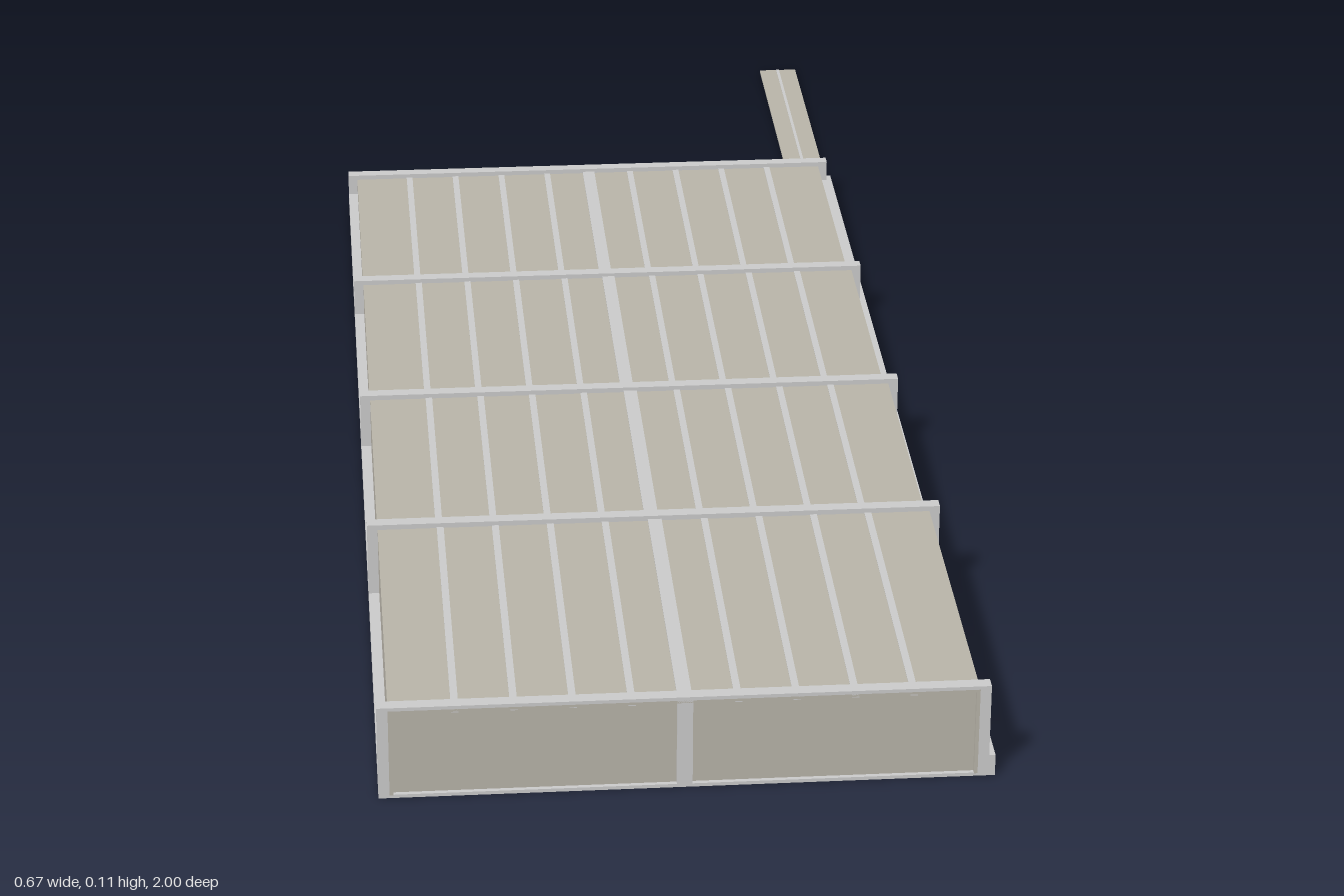
import * as THREE from 'three';

export function createModel() {
  const model = new THREE.Group();
  const metal = new THREE.MeshStandardMaterial({ color: 0xcacaca });
  metal.name = 'light grey frame';
  const panel = new THREE.MeshStandardMaterial({ color: 0xb7b3a8 });
  panel.name = 'beige panel';

  // Box given by its limits on each axis
  const box = (name, material, x0, x1, y0, y1, z0, z1, parent = model) => {
    const mesh = new THREE.Mesh(new THREE.BoxGeometry(x1 - x0, y1 - y0, z1 - z0), material);
    mesh.position.set((x0 + x1) / 2, (y0 + y1) / 2, (z0 + z1) / 2);
    mesh.name = name;
    parent.add(mesh);
  };

  const L = -0.333, R = 0.326, mid = -0.0035, bar = 0.015;
  const cuts = [1, 0.575, 0.202, -0.175, -0.56]; // bay ends, front to back
  const tops = [0.111, 0.091, 0.07, 0.05]; // bay heights

  // Four stepped bays
  tops.forEach((top, i) => {
    const bay = new THREE.Group();
    bay.name = 'bay' + (i + 1);
    model.add(bay);
    const z1 = cuts[i], z0 = cuts[i + 1], deck = top - 0.004;
    box('roofPanel', panel, L + 0.012, R - 0.012, deck - 0.003, deck, z0, z1, bay);
    box('leftWall', panel, L + 0.012, L + 0.016, 0.003, deck, z0, z1, bay);
    box('rightWall', panel, R - 0.016, R - 0.012, 0.003, deck, z0, z1, bay);

    // Roof battens either side of the middle beam
    for (const side of [-1, 1]) {
      for (let k = 0; k < 4; k++) {
        const x = mid + side * (0.057 + 0.063 * k);
        box('batten', metal, x - 0.004, x + 0.004, deck - 0.004, deck + 0.001, z0, z1, bay);
      }
    }
    box('middleBeam', metal, mid - 0.008, mid + 0.008, deck - 0.006, deck + 0.002, z0, z1, bay);

    // Cross beam and posts at the rear of the bay
    box('crossBeam', metal, L, R, top - 0.022, top + 0.002, z0, z0 + bar, bay);
    box('leftPost', metal, L, L + bar, 0, top + 0.002, z0, z0 + bar, bay);
    box('rightPost', metal, R - bar, R, 0, top + 0.002, z0, z0 + bar, bay);
  });

  // Front and back walls, each with two panels and a frame
  const endWall = (name, outer, dir, top) => {
    const wall = new THREE.Group();
    wall.name = name;
    model.add(wall);
    const slab = (part, mat, x0, x1, y0, y1, a, b) => {
      const za = outer - dir * a, zb = outer - dir * b;
      box(part, mat, x0, x1, y0, y1, Math.min(za, zb), Math.max(za, zb), wall);
    };
    slab('endPanel', panel, L + 0.01, R - 0.01, 0.003, top - 0.004, 0.005, 0.009);
    slab('middlePost', metal, mid - 0.0085, mid + 0.0085, 0, top, 0, bar);
    slab('topRail', metal, L, R, top - 0.004, top, 0, bar);
    slab('bottomRail', metal, L, R, 0, 0.004, 0, bar);
    slab('leftCornerPost', metal, L, L + bar, 0, top, 0, bar);
    slab('rightCornerPost', metal, R - bar, R, 0, top, 0, bar);
  };
  endWall('frontWall', 1, 1, 0.111);
  // The back wall's top beam belongs to the last bay
  box('backPanel', panel, L + 0.01, R - 0.01, 0.003, 0.046, -0.555, -0.551);
  box('backMiddlePost', metal, mid - 0.0085, mid + 0.0085, 0, 0.05, -0.56, -0.545);
  box('backBottomRail', metal, L, R, 0, 0.004, -0.56, -0.545);

  // Base rails along both sides
  box('leftRail', metal, L, L + bar, 0, 0.025, -0.56, 1);
  box('rightRail', metal, R - 0.012, 0.333, 0, 0.025, -0.56, 1);

  // Long flat bar that runs on past the back
  box('flatBar', panel, 0.28, 0.332, 0, 0.003, -1, 0.99);
  box('flatBarRidge', metal, 0.304, 0.308, 0.002, 0.0035, -1, -0.56);

  return model;
}
